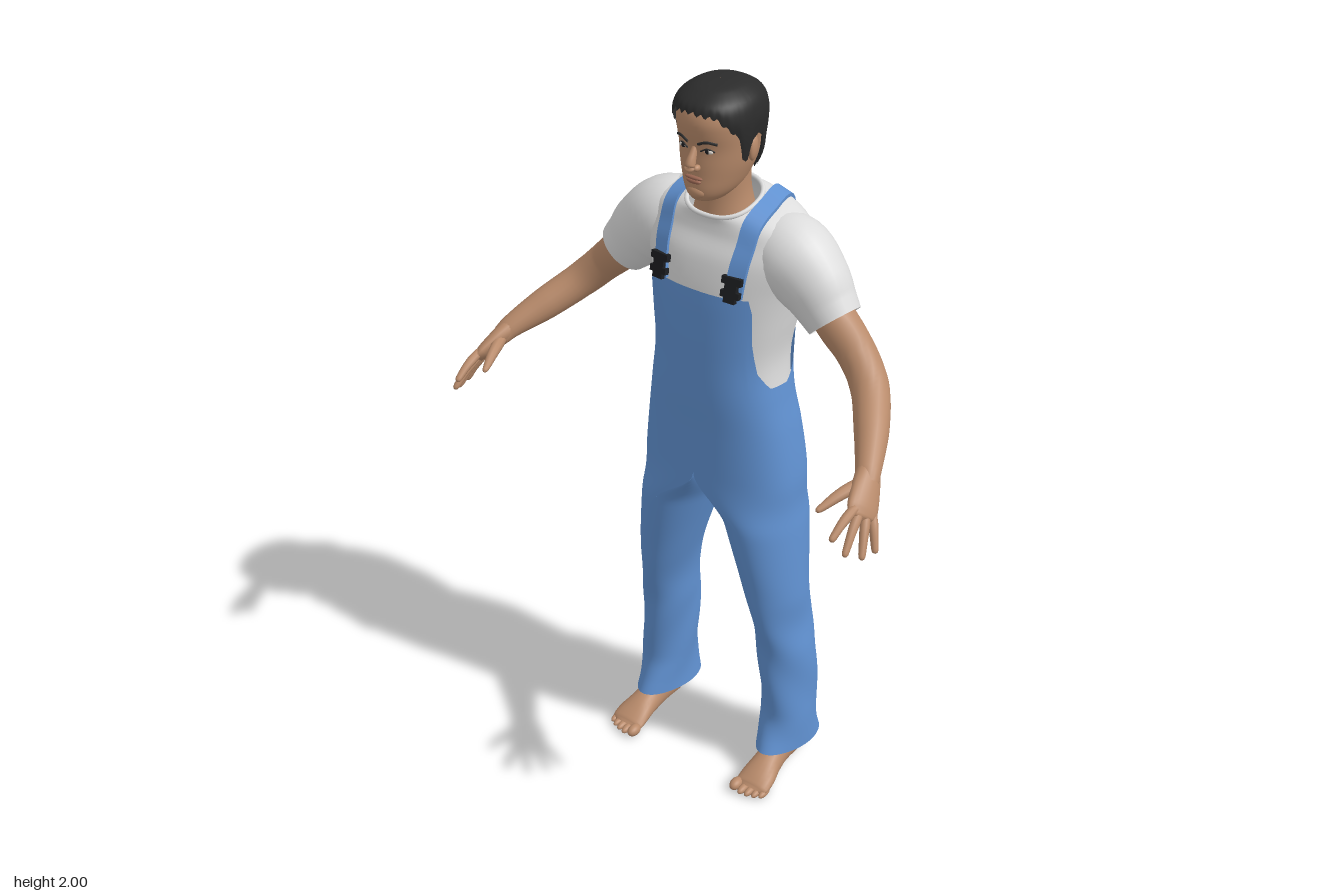
import * as THREE from 'three';
import { mergeVertices, mergeGeometries, toCreasedNormals } from 'three/addons/utils/BufferGeometryUtils.js';

const mat = (name, color, side = THREE.FrontSide) =>
  Object.assign(new THREE.MeshStandardMaterial({ color, side }), { name });
const V = (x, y, z) => new THREE.Vector3(x, y, z);
const smooth = THREE.MathUtils.smoothstep;
const lerp = THREE.MathUtils.lerp;
const DEG = Math.PI / 180;

// Smooth lookup in a table whose first column is the key
function sample(tb, key) {
  const last = tb.length - 1;
  const k = Math.min(Math.max(key, tb[0][0]), tb[last][0]);
  let i = 0;
  while (i < last - 1 && k > tb[i + 1][0]) i++;
  const h = tb[i + 1][0] - tb[i][0], t = (k - tb[i][0]) / h;
  const slope = (j, c) => {
    const a = tb[Math.max(j - 1, 0)], b = tb[Math.min(j + 1, last)];
    return (b[c] - a[c]) / (b[0] - a[0]);
  };
  return tb[i].map((p, c) => {
    const q = tb[i + 1][c], t2 = t * t, t3 = t2 * t;
    return (2 * t3 - 3 * t2 + 1) * p + (t3 - 2 * t2 + t) * h * slope(i, c)
      + (3 * t2 - 2 * t3) * q + (t3 - t2) * h * slope(i + 1, c);
  });
}
// Straight-line lookup for hem and hair lines
function line(tb, k) {
  let i = 0;
  while (i < tb.length - 2 && k > tb[i + 1][0]) i++;
  return lerp(tb[i][1], tb[i + 1][1], (k - tb[i][0]) / (tb[i + 1][0] - tb[i][0]));
}
// Skin a grid of points fn(u, v); v runs round the part
function skin(fn, nu, nv) {
  const pos = [], idx = [];
  for (let i = 0; i <= nu; i++) for (let j = 0; j <= nv; j++) pos.push(...fn(i / nu, j / nv).toArray());
  for (let i = 0; i < nu; i++) for (let j = 0; j < nv; j++) {
    const a = i * (nv + 1) + j, d = a + nv + 1;
    idx.push(a, a + 1, d + 1, a, d + 1, d);
  }
  const g = new THREE.BufferGeometry();
  g.setAttribute('position', new THREE.Float32BufferAttribute(pos, 3));
  g.setIndex(idx);
  return g;
}
function weld(g) {
  const m = mergeVertices(g, 1e-4);
  m.computeVertexNormals();
  return m;
}
// Point on a level, slightly square ring; rows are [y, cz, rx, rz]; angle 0 faces front
function ring(tb, y, a, off = 0, n = 2.4) {
  const [, cz, rx, rz] = sample(tb, y), s = Math.sin(a), c = Math.cos(a);
  const pw = (v) => Math.sign(v) * Math.abs(v) ** (2 / n);
  return V((rx + off) * pw(s), y, cz + (rz + off) * pw(c));
}
// Rounded limb through stations [x, y, z, half width, half height]
function limb(st, nu = 16, nv = 16, roll = 0) {
  const path = new THREE.CatmullRomCurve3(st.map((p) => V(p[0], p[1], p[2])));
  const rad = new THREE.CatmullRomCurve3(st.map((p) => V(p[3], p[4], 0)));
  return weld(skin((u, v) => {
    const T = path.getTangent(u), B = V(0, 1, 0).addScaledVector(T, -T.y).normalize();
    const S = B.clone().cross(T), r = rad.getPoint(u), a = v * 2 * Math.PI;
    S.applyAxisAngle(T, roll); B.applyAxisAngle(T, roll);
    return path.getPoint(u).addScaledVector(S, Math.max(r.x, 0.0005) * Math.cos(a))
      .addScaledVector(B, Math.max(r.y, 0.0005) * Math.sin(a));
  }, nu, nv));
}

const TORSO = [[0.84, -0.12, 0.226, 0.136], [0.97, -0.121, 0.216, 0.137], [1.1, -0.114, 0.198, 0.132],
  [1.2, -0.105, 0.18, 0.128], [1.3, -0.11, 0.169, 0.134], [1.4, -0.12, 0.182, 0.143], [1.5, -0.127, 0.2, 0.144],
  [1.58, -0.133, 0.222, 0.134], [1.64, -0.133, 0.215, 0.113], [1.67, -0.126, 0.188, 0.1],
  [1.69, -0.115, 0.14, 0.087], [1.702, -0.105, 0.09, 0.079]];
// [y, cz, rx, rz, cx]
const LEG = [[0.07, -0.138, 0.067, 0.124, 0.211], [0.12, -0.14, 0.066, 0.108, 0.21], [0.2, -0.145, 0.067, 0.096, 0.208],
  [0.4, -0.138, 0.07, 0.097, 0.196], [0.5, -0.126, 0.066, 0.1, 0.187], [0.6, -0.115, 0.076, 0.105, 0.175],
  [0.8, -0.118, 0.098, 0.131, 0.138], [0.9, -0.12, 0.107, 0.138, 0.115], [0.97, -0.12, 0.109, 0.138, 0.109]];
const HEAD = [[1.72, -0.05, 0.002, 0.003], [1.724, -0.052, 0.03, 0.048], [1.735, -0.053, 0.046, 0.064],
  [1.755, -0.066, 0.062, 0.084], [1.79, -0.078, 0.076, 0.096], [1.82, -0.084, 0.084, 0.102],
  [1.86, -0.085, 0.089, 0.102], [1.9, -0.085, 0.092, 0.11], [1.93, -0.085, 0.091, 0.111], [1.96, -0.085, 0.079, 0.097],
  [1.98, -0.085, 0.051, 0.062], [1.987, -0.085, 0.029, 0.036], [1.99, -0.085, 0.001, 0.001]];
// Top edge of the overalls and lower edge of the hair, by angle from the front
const BIB = [[0, 1.5], [43, 1.5], [50, 1.38], [60, 1.29], [74, 1.242], [95, 1.235], [115, 1.27], [140, 1.37], [165, 1.5], [180, 1.51]];
const HAIRLINE = [[0, 1.946], [35, 1.94], [52, 1.915], [66, 1.89], [72, 1.83], [82, 1.83], [88, 1.885], [106, 1.88], [116, 1.8], [140, 1.77], [180, 1.762]];
const turn = (a) => Math.abs(((a / DEG + 180) % 360) - 180);

export function createModel() {
  const skinTone = mat('skin', 0xb98b6b), hairMat = mat('hair', 0x2b2b2b, THREE.DoubleSide);
  const white = mat('shirt white', 0xdcdcdc, THREE.DoubleSide), blue = mat('denim blue', 0x6192d2, THREE.DoubleSide);
  const black = mat('buckle black', 0x1c1d20), lipMat = mat('lip', 0x9a6753), eyeMat = mat('eye white', 0xd8d2ca);
  const root = new THREE.Group();
  const add = (name, geo, m, parent = root) => {
    const mesh = new THREE.Mesh(geo, m);
    mesh.name = name;
    parent.add(mesh);
    return mesh;
  };
  const blob = (name, m, p, s, parent) => {
    const b = add(name, new THREE.SphereGeometry(1, 20, 14), m, parent);
    b.position.set(...p);
    b.scale.set(...s);
    return b;
  };
  const left = new THREE.Group();
  left.name = 'leftSide';

  // Overalls: trouser legs that flow into the hips, then the bib
  const leg = (side) => skin((u, v) => {
    const a = (side > 0 ? v : 1 - v) * 2 * Math.PI, y = lerp(0.07, 0.97, u);
    const [, cz, rx, rz, cx] = sample(LEG, y);
    const fold = 1 + 0.03 * Math.sin(3 * a + y * 26) * (1 - smooth(y, 0.3, 0.75));
    const p = V(cx + rx * fold * Math.sin(a), y - 0.015 * Math.cos(a) * -(1 - smooth(y, 0.07, 0.2)), cz + rz * fold * Math.cos(a));
    const hip = a <= Math.PI ? ring(TORSO, y, a, 0.007) : V(0, y, cz + rz * Math.cos(a));
    p.lerp(hip, smooth(y, 0.82, 0.966));
    p.x *= side;
    return p;
  }, 54, 72);
  const bib = skin((u, v) => {
    const a = v * 2 * Math.PI;
    return ring(TORSO, lerp(0.97, line(BIB, turn(a)), u), a, 0.007);
  }, 26, 72);
  add('overalls', weld(mergeGeometries([leg(1), leg(-1), bib])), blue);

  // Shirt body with a neckline lower at the front
  const shirtPoint = (y, a) => {
    const p = ring(TORSO, y, a);
    p.y -= 0.025 * Math.cos(a) * smooth(y, 1.56, 1.7);
    return p;
  };
  const shirt = add('shirtBody', weld(skin((u, v) => shirtPoint(lerp(1.18, 1.702, Math.sin(u * Math.PI / 2)), v * 2 * Math.PI), 36, 72)), white);
  const collarPts = Array.from({ length: 24 }, (_, i) => shirtPoint(1.702, i * 15 * DEG));
  add('collar', new THREE.TubeGeometry(new THREE.CatmullRomCurve3(collarPts, true), 48, 0.006, 8, true), white);
  const sleeve = add('sleeve', limb([[0.1, 1.585, -0.132, 0.085, 0.09], [0.18, 1.578, -0.132, 0.1, 0.106],
    [0.25, 1.53, -0.126, 0.086, 0.095], [0.29, 1.488, -0.12, 0.074, 0.08], [0.318, 1.458, -0.115, 0.067, 0.071]], 24, 28), white, left);

  // Straps draped over the shoulder, with buckles
  const ray = new THREE.Raycaster();
  const drape = (x, phi, off) => {
    const d = V(0, Math.sin(phi), Math.cos(phi)), c = V(x, 1.5, -0.125);
    ray.set(c.clone().addScaledVector(d, 0.6), d.clone().negate());
    const hit = ray.intersectObjects([shirt, sleeve])[0];
    return (hit ? hit.point : c.addScaledVector(d, 0.15)).addScaledVector(d, off);
  };
  const STRAP = [[0, 0.105], [60, 0.118], [90, 0.118], [130, 0.088], [180, 0.026]];
  const corners = [[-1, -0.004], [1, -0.004], [1, 0.009], [-1, 0.009], [-1, -0.004]];
  add('strap', toCreasedNormals(skin((u, v) => {
    const [s, off] = corners[Math.round(v * 4)];
    return drape(sample(STRAP, u * 180)[1] + s * 0.021, u * Math.PI, off);
  }, 44, 4), 0.7), blue, left);
  const buckle = new THREE.Group();
  buckle.name = 'buckle';
  buckle.position.copy(drape(0.106, 12 * DEG, 0.013));
  buckle.rotation.set(-0.2, 0.1, 0);
  for (const [y, w, h] of [[0.021, 0.052, 0.018], [0.003, 0.032, 0.026], [-0.013, 0.05, 0.016], [-0.027, 0.03, 0.014]])
    add('bucklePiece', new THREE.BoxGeometry(w, h, 0.014), black, buckle).position.y = y;
  left.add(buckle);

  // Arm, palm, fingers and thumb
  add('arm', limb([[0.25, 1.525, -0.125, 0.05, 0.05], [0.32, 1.456, -0.117, 0.052, 0.054], [0.385, 1.392, -0.112, 0.048, 0.049],
    [0.44, 1.337, -0.085, 0.047, 0.046], [0.5, 1.28, -0.005, 0.042, 0.042], [0.548, 1.233, 0.08, 0.031, 0.029],
    [0.56, 1.215, 0.105, 0.028, 0.024]], 36, 20), skinTone, left);
  add('palm', limb([[0.545, 1.236, 0.074, 0.028, 0.026], [0.565, 1.207, 0.115, 0.04, 0.023], [0.582, 1.18, 0.153, 0.044, 0.018],
    [0.589, 1.168, 0.17, 0.038, 0.012], [0.592, 1.163, 0.176, 0.002, 0.002]], 16, 20, -45 * DEG), skinTone, left);
  const fingers = [['indexFinger', [0.575, 1.188, 0.185], [0.572, 1.15, 0.27]], ['middleFinger', [0.583, 1.176, 0.17], [0.6, 1.108, 0.253]],
    ['ringFinger', [0.592, 1.165, 0.153], [0.624, 1.087, 0.215]], ['littleFinger', [0.6, 1.155, 0.137], [0.634, 1.085, 0.172]],
    ['thumb', [0.552, 1.215, 0.11], [0.507, 1.185, 0.234]]];
  for (const [name, a, b] of fingers) {
    const at = (t, r, lift = 0) => [...a.map((v, i) => lerp(v, b[i], t) + (i === 1 ? lift : 0)), r, r];
    const k = name === 'thumb' ? 1.3 : 1;
    add(name, limb([at(-0.1, 0.011 * k), at(0.25, 0.012 * k, 0.004), at(0.55, 0.0105 * k, 0.005), at(0.9, 0.0085), at(0.97, 0.006), at(1, 0.0005)], 14, 10), skinTone, left);
  }

  // Ankle, bare foot and toes
  add('ankle', limb([[0.206, 0.3, -0.135, 0.045, 0.05], [0.21, 0.16, -0.139, 0.036, 0.042], [0.213, 0.05, -0.14, 0.036, 0.045]].map(
    (p, i) => [p[0], p[1], p[2] + i * 0.001, p[3], p[4]]), 10, 16), skinTone, left);
  add('foot', limb([[0.211, 0.03, -0.203, 0.002, 0.002], [0.211, 0.031, -0.195, 0.022, 0.024], [0.212, 0.04, -0.16, 0.034, 0.04],
    [0.213, 0.048, -0.09, 0.035, 0.048], [0.216, 0.038, -0.03, 0.041, 0.038], [0.22, 0.025, 0.02, 0.05, 0.025],
    [0.22, 0.016, 0.05, 0.05, 0.016], [0.22, 0.014, 0.062, 0.03, 0.008]], 28, 20), skinTone, left);
  [[0.181, 0.068, 0.016], [0.205, 0.068, 0.011], [0.225, 0.064, 0.0105], [0.244, 0.057, 0.01], [0.261, 0.047, 0.01]].forEach(
    ([x, z, r]) => blob('toe', skinTone, [x, r, z], [r, r, 0.024], left));

  // Head and neck
  add('neck', weld(skin((u, v) => ring([[1.64, -0.108, 0.086, 0.076], [1.7, -0.106, 0.069, 0.067], [1.74, -0.103, 0.064, 0.064],
    [1.82, -0.1, 0.064, 0.07]], lerp(1.64, 1.82, u), v * 2 * Math.PI, 0, 2), 12, 32)), skinTone);
  add('head', weld(skin((u, v) => ring(HEAD, lerp(1.72, 1.99, (1 - Math.cos(u * Math.PI)) / 2), v * 2 * Math.PI, 0, 2.15), 44, 48)), skinTone);
  add('hair', weld(skin((u, v) => {
    const a = v * 2 * Math.PI, low = line(HAIRLINE, turn(a)) + 0.004 * Math.sin(a * 31);
    const y = lerp(low, 1.99, Math.sin(u * Math.PI / 2)), thick = 0.011 * smooth(u, -0.5, 0.25);
    const p = ring(HEAD, y, a, thick * (1 - smooth(u, 0.93, 1)), 2.15);
    p.y += 0.01 * smooth(y, 1.88, 1.99);
    return p;
  }, 26, 120)), hairMat);

  // Face
  const faceZ = (x, y) => {
    const [, cz, rx, rz] = sample(HEAD, y);
    return cz + rz * (1 - (x / rx) ** 2.15) ** (1 / 2.15);
  };
  add('nose', limb([[0, 1.868, 0.01, 0.007, 0.007], [0, 1.85, 0.02, 0.009, 0.01], [0, 1.83, 0.03, 0.012, 0.013],
    [0, 1.819, 0.032, 0.013, 0.012], [0, 1.812, 0.024, 0.003, 0.003]].map((p) => [...p]), 14, 14), skinTone);
  blob('upperLip', lipMat, [0, 1.79, faceZ(0, 1.79)], [0.025, 0.005, 0.007]);
  blob('lowerLip', lipMat, [0, 1.781, faceZ(0, 1.781)], [0.021, 0.006, 0.007]);
  blob('chin', skinTone, [0, 1.752, 0.008], [0.026, 0.017, 0.014]);
  blob('nostril', skinTone, [0.012, 1.818, 0.022], [0.008, 0.008, 0.011], left);
  const eyeZ = faceZ(0.034, 1.86);
  blob('eye', eyeMat, [0.034, 1.86, eyeZ - 0.002], [0.014, 0.006, 0.005], left);
  blob('iris', black, [0.034, 1.86, eyeZ + 0.001], [0.006, 0.006, 0.003], left);
  const lid = [[0.018, 1.859], [0.034, 1.867], [0.05, 1.86]], brow = [[0.014, 1.877], [0.034, 1.885], [0.056, 1.88]];
  for (const [name, pts, r] of [['eyelid', lid, 0.002], ['eyebrow', brow, 0.0035]])
    add(name, new THREE.TubeGeometry(new THREE.CatmullRomCurve3(pts.map(([x, y]) => V(x, y, faceZ(x, y) + 0.001))), 12, r, 6), hairMat, left);
  blob('ear', skinTone, [0.093, 1.852, -0.086], [0.01, 0.031, 0.018], left).rotation.set(-0.15, 0.3, 0);

  const right = left.clone();
  right.name = 'rightSide';
  right.scale.x = -1;
  root.add(left, right);
  return root;
}
